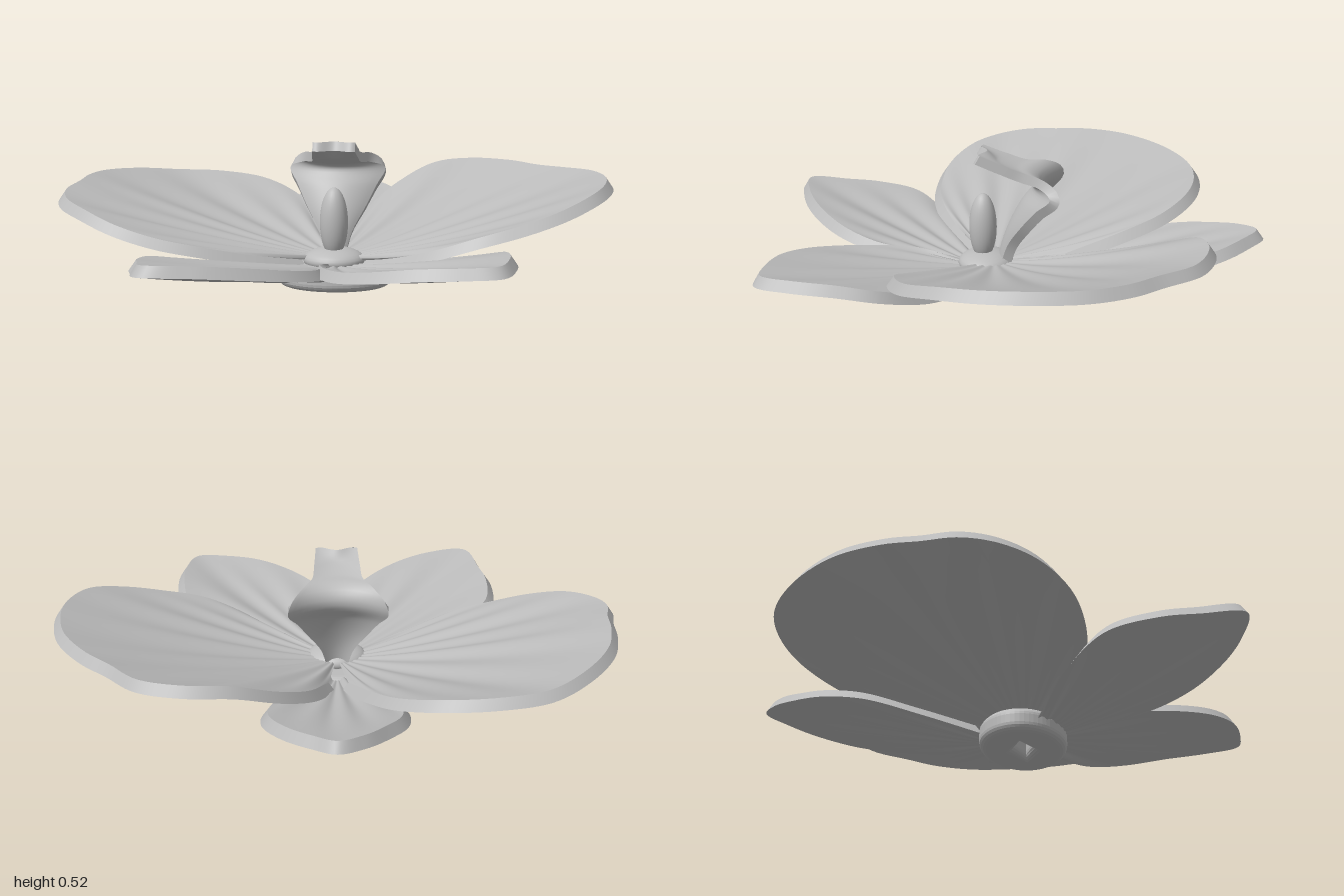
import * as THREE from 'three';
import { mergeGeometries } from 'three/addons/utils/BufferGeometryUtils.js';

const V = (x, y, z) => new THREE.Vector3(x, y, z);

// Grid surface from fn(u, v); its front faces along du x dv, or the reverse with flip
function surface(fn, nu, nv, flip = false) {
  const pos = [], idx = [];
  for (let j = 0; j <= nv; j++)
    for (let i = 0; i <= nu; i++) pos.push(...fn(i / nu, j / nv).toArray());
  for (let j = 0; j < nv; j++)
    for (let i = 0; i < nu; i++) {
      const a = j * (nu + 1) + i, b = a + 1, c = a + nu + 1, d = c + 1;
      idx.push(...(flip ? [a, c, b, b, c, d] : [a, b, c, b, d, c]));
    }
  const g = new THREE.BufferGeometry();
  g.setAttribute('position', new THREE.Float32BufferAttribute(pos, 3));
  g.setIndex(idx);
  g.computeVertexNormals();
  return g;
}

// Thick petal: fans out from its base to an outline, cupped and lightly pleated
function petalGeometry(base, outline, { cup = 1.3, pleats = 9, thick = 0.035 } = {}) {
  let pts = outline.map(p => V(...p));
  const area = pts.reduce((s, p, i) => {
    const q = pts[(i + 1) % pts.length];
    return s + p.x * q.z - q.x * p.z;
  }, 0);
  if (area > 0) pts.reverse();
  const curve = new THREE.CatmullRomCurve3(pts);
  const mid = pts.reduce((s, p) => s.add(p), V(0, 0, 0)).divideScalar(pts.length);
  const point = (t, s, top) => {
    const e = curve.getPoint(t);
    if (top) {
      const inward = V(mid.x - e.x, 0, mid.z - e.z).normalize();
      e.addScaledVector(inward, 0.025);
    }
    const ripple = 0.005 * Math.sin(t * pleats * Math.PI * 2) * Math.sin(Math.PI * s);
    return V(
      base.x + (e.x - base.x) * s,
      base.y + (e.y - base.y) * Math.pow(s, cup) + ripple - (top ? 0 : thick),
      base.z + (e.z - base.z) * s);
  };
  return mergeGeometries([
    surface((t, s) => point(t, s, true), 96, 20, true),
    surface((t, s) => point(t, s, false), 96, 20),
    surface((t, v) => point(t, 1, true).lerp(point(t, 1, false), v), 96, 1, true),
  ]);
}

// Lip: a spade-shaped blade rising behind the column and bending into a forward tongue
function lipGeometry() {
  const path = new THREE.CatmullRomCurve3([   // half width, y, z
    V(0.035, 0.1, 0.07), V(0.06, 0.19, 0.05), V(0.105, 0.27, 0.02), V(0.145, 0.345, -0.02),
    V(0.175, 0.4, -0.06), V(0.125, 0.425, -0.04), V(0.09, 0.435, 0.01), V(0.082, 0.46, 0.08),
    V(0.075, 0.495, 0.145)]);
  const point = (u, v, back) => {
    const p = path.getPoint(v), a = u * 2 - 1;
    const before = path.getPoint(Math.max(0, v - 0.06)), after = path.getPoint(Math.min(1, v + 0.06));
    const t = after.sub(before).setX(0).normalize();
    const k = back ? 0.035 : 0;
    const notch = 0.025 * Math.max(0, v * 8 - 7) * Math.cos(a * Math.PI);
    return V(a * p.x, p.y + t.z * k, p.z - t.y * k - 0.4 * p.x * a * a - notch);
  };
  const sides = [u => [u, 0], u => [1, u], u => [1 - u, 1], u => [0, 1 - u]];
  return mergeGeometries([
    surface((u, v) => point(u, v, false), 16, 40),
    surface((u, v) => point(u, v, true), 16, 40, true),
    ...sides.map(f => surface((u, v) => point(...f(u), false).lerp(point(...f(u), true), v), 40, 1, true)),
  ]);
}

// Calyx: oval cup underneath with a diamond-shaped opening
function calyxGeometry() {
  const shape = new THREE.Shape().absellipse(0, 0, 0.17, 0.12, 0, Math.PI * 2);
  const hole = new THREE.Path([[0.12, 0], [0, 0.075], [-0.12, 0], [0, -0.075]].map(p => new THREE.Vector2(...p)));
  shape.holes.push(hole);
  const g = new THREE.ExtrudeGeometry(shape, {
    depth: 0.03, bevelThickness: 0.03, bevelSize: 0.035, bevelSegments: 5, curveSegments: 32 });
  return g.rotateX(-Math.PI / 2).translate(0, 0.035, 0.075);
}

export function createModel() {
  const model = new THREE.Group();
  const grey = new THREE.MeshStandardMaterial({ color: 0xbcbcbc, side: THREE.DoubleSide });
  grey.name = 'petal grey';
  const add = (name, geometry) => {
    const mesh = new THREE.Mesh(geometry, grey);
    mesh.name = name;
    model.add(mesh);
    return mesh;
  };

  // Two broad petals
  add('leftPetal', petalGeometry(V(0, 0.11, 0.08), [
    [0.01, 0.13, -0.18], [0.09, 0.21, -0.42], [0.2, 0.28, -0.57], [0.35, 0.345, -0.665],
    [0.5, 0.36, -0.69], [0.66, 0.36, -0.64], [0.77, 0.36, -0.52], [0.87, 0.365, -0.42],
    [0.96, 0.375, -0.28], [0.995, 0.38, -0.1], [0.98, 0.375, 0.05], [0.92, 0.36, 0.19],
    [0.8, 0.32, 0.3], [0.66, 0.28, 0.36], [0.5, 0.24, 0.39], [0.35, 0.19, 0.36],
    [0.2, 0.14, 0.26], [0.09, 0.11, 0.16]]));
  add('rightPetal', petalGeometry(V(0, 0.11, 0.08), [
    [-0.01, 0.13, -0.18], [-0.1, 0.2, -0.42], [-0.18, 0.24, -0.55], [-0.32, 0.28, -0.65],
    [-0.5, 0.3, -0.68], [-0.68, 0.31, -0.645], [-0.82, 0.33, -0.54], [-0.93, 0.345, -0.38],
    [-0.97, 0.35, -0.22], [-0.98, 0.345, -0.1], [-1, 0.335, 0.03], [-0.97, 0.32, 0.15],
    [-0.88, 0.3, 0.26], [-0.75, 0.26, 0.34], [-0.6, 0.22, 0.365], [-0.45, 0.19, 0.35],
    [-0.28, 0.15, 0.28], [-0.09, 0.11, 0.16]]));

  // Three narrower sepals below them
  add('backSepal', petalGeometry(V(0, 0.08, -0.02), [
    [0.07, 0.09, -0.06], [0.19, 0.13, -0.25], [0.26, 0.18, -0.45], [0.26, 0.21, -0.6],
    [0.19, 0.235, -0.74], [0.1, 0.25, -0.83], [0.02, 0.26, -0.885], [-0.07, 0.25, -0.83],
    [-0.15, 0.23, -0.73], [-0.22, 0.205, -0.6], [-0.23, 0.18, -0.45], [-0.17, 0.13, -0.25],
    [-0.07, 0.09, -0.06]], { cup: 1.2, pleats: 6 }));
  add('frontLeftSepal', petalGeometry(V(0, 0.09, 0.12), [
    [-0.04, 0.12, 0.25], [-0.055, 0.14, 0.35], [-0.03, 0.155, 0.49], [0.04, 0.175, 0.64],
    [0.15, 0.2, 0.75], [0.3, 0.225, 0.82], [0.45, 0.235, 0.84], [0.565, 0.24, 0.825],
    [0.61, 0.24, 0.7], [0.615, 0.23, 0.55], [0.58, 0.2, 0.4], [0.42, 0.14, 0.26],
    [0.15, 0.09, 0.14]], { cup: 1.3, pleats: 6 }));
  add('frontRightSepal', petalGeometry(V(0, 0.085, 0.12), [
    [-0.01, 0.11, 0.25], [-0.005, 0.135, 0.38], [-0.02, 0.155, 0.52], [-0.1, 0.185, 0.67],
    [-0.24, 0.215, 0.79], [-0.4, 0.235, 0.86], [-0.56, 0.24, 0.875], [-0.61, 0.22, 0.73],
    [-0.635, 0.205, 0.6], [-0.61, 0.18, 0.43], [-0.45, 0.13, 0.28], [-0.15, 0.085, 0.14]],
    { cup: 1.3, pleats: 6 }));

  // Centre of the flower
  add('calyx', calyxGeometry());
  add('collar', new THREE.SphereGeometry(1, 32, 16).scale(0.11, 0.045, 0.1).translate(0, 0.105, 0.11));
  add('column', new THREE.SphereGeometry(1, 24, 20).scale(0.05, 0.125, 0.05).translate(0, 0.24, 0.12));
  add('lip', lipGeometry());
  return model;
}
